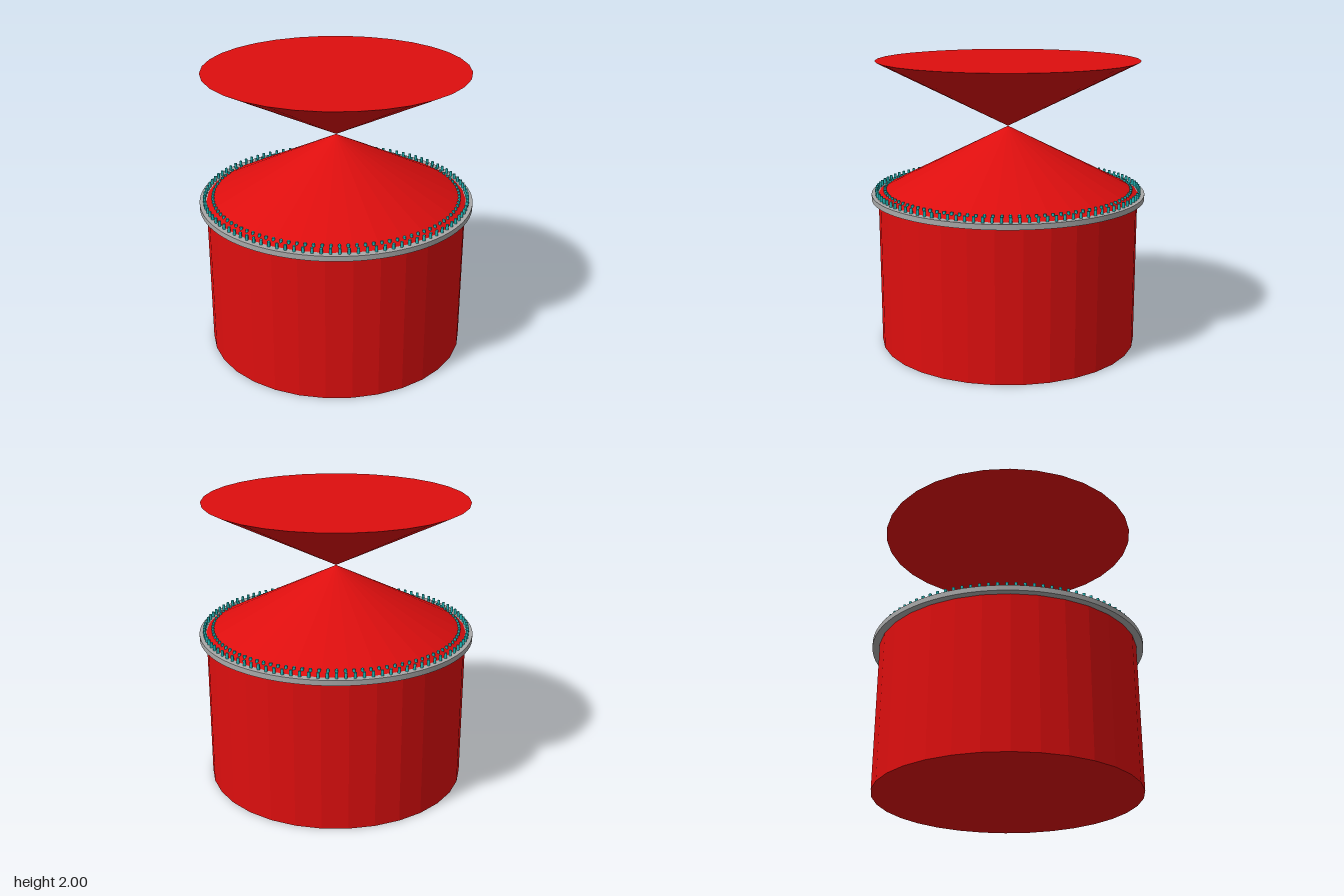
import * as THREE from 'three';

export function createModel() {
  const red = new THREE.MeshStandardMaterial({ color: 0xdd0e0e, flatShading: true });
  red.name = 'red';
  const grey = new THREE.MeshStandardMaterial({ color: 0xa8a8a8, flatShading: true });
  grey.name = 'grey';
  const teal = new THREE.MeshStandardMaterial({ color: 0x22b8b8 });
  teal.name = 'teal';

  const model = new THREE.Group();
  const add = (name, geometry, material, y, parent = model) => {
    const mesh = new THREE.Mesh(geometry, material);
    mesh.name = name;
    mesh.position.y = y;
    parent.add(mesh);
    return mesh;
  };

  const R = 0.91, wallTop = 1.082, apex = 1.541;

  // Drum with a conical roof, and an inverted cone balanced on its tip
  add('drum', new THREE.CylinderGeometry(R, R, wallTop, 32), red, wallTop / 2);
  add('roof', new THREE.ConeGeometry(R, apex - wallTop, 32), red, (apex + wallTop) / 2);
  const upper = new THREE.ConeGeometry(R, 2 - apex, 32).rotateX(Math.PI);
  add('upperCone', upper, red, (apex + 2) / 2);

  // Flange around the top of the drum
  const flangeRing = new THREE.Shape().absarc(0, 0, 0.957, 0, Math.PI * 2);
  flangeRing.holes.push(new THREE.Path().absarc(0, 0, 0.88, 0, Math.PI * 2, true));
  const flange = new THREE.ExtrudeGeometry(flangeRing, { depth: 0.036, bevelEnabled: false, curveSegments: 100 });
  add('flange', flange.rotateX(-Math.PI / 2), grey, 1.046);

  // Concentric rows of small pegs standing on the flange and the eave
  const pegs = new THREE.Group();
  pegs.name = 'pegs';
  model.add(pegs);
  const pegGeometry = new THREE.CylinderGeometry(0.01, 0.01, 0.038, 8);
  const count = 100;
  for (const radius of [0.922, 0.864]) {
    for (let i = 0; i < count; i++) {
      const a = (i / count) * Math.PI * 2;
      const peg = add('peg', pegGeometry, teal, 1.1, pegs);
      peg.position.x = radius * Math.cos(a);
      peg.position.z = radius * Math.sin(a);
    }
  }
  return model;
}
